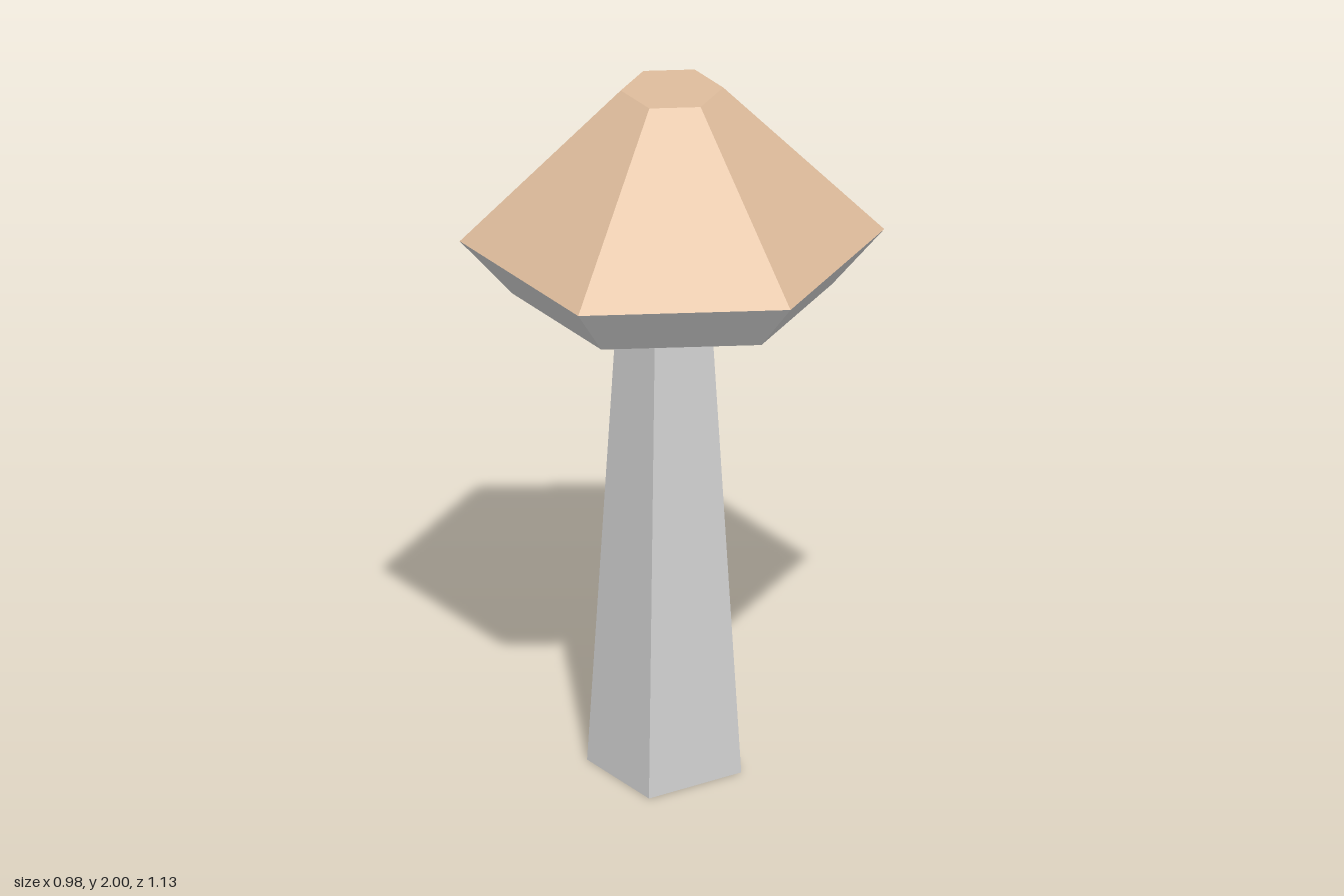
import * as THREE from 'three';

export function createModel() {
  const model = new THREE.Group();
  const tan = new THREE.MeshStandardMaterial({ name: 'tan', color: 0xdebc9c });
  const grey = new THREE.MeshStandardMaterial({ name: 'light grey', color: 0xd3d3d3 });

  // Faceted frustum between two heights; the caps can be left off
  function frustum(name, material, sides, rTop, rBottom, y0, y1, open = false) {
    let geometry = new THREE.CylinderGeometry(rTop, rBottom, y1 - y0, sides, 1, open);
    geometry = geometry.toNonIndexed();
    geometry.computeVertexNormals();
    const mesh = new THREE.Mesh(geometry, material);
    mesh.name = name;
    mesh.position.y = (y0 + y1) / 2;
    model.add(mesh);
    return mesh;
  }

  // Square tapering stem, slightly off centre
  const stem = frustum('stem', grey, 4, 0.0875 * Math.SQRT2, 0.148 * Math.SQRT2, 0, 1.413);
  stem.rotation.y = Math.PI / 4;
  stem.position.x = -0.007;
  stem.position.z = -0.027;

  // Underside of the cap: open sides plus a flat hexagonal base
  frustum('capUnderside', grey, 6, 0.567, 0.428, 1.413, 1.57, true);
  const base = new THREE.Mesh(new THREE.CircleGeometry(0.428, 6), grey);
  base.name = 'capBase';
  base.geometry.rotateZ(Math.PI / 2).rotateX(Math.PI / 2);
  base.position.y = 1.413;
  model.add(base);

  // Top of the cap: open sides plus a flat hexagonal crown
  frustum('capTop', tan, 6, 0.137, 0.567, 1.57, 2, true);
  const crown = new THREE.Mesh(new THREE.CircleGeometry(0.137, 6), tan);
  crown.name = 'capCrown';
  crown.geometry.rotateZ(Math.PI / 2).rotateX(-Math.PI / 2);
  crown.position.y = 2;
  model.add(crown);

  return model;
}
